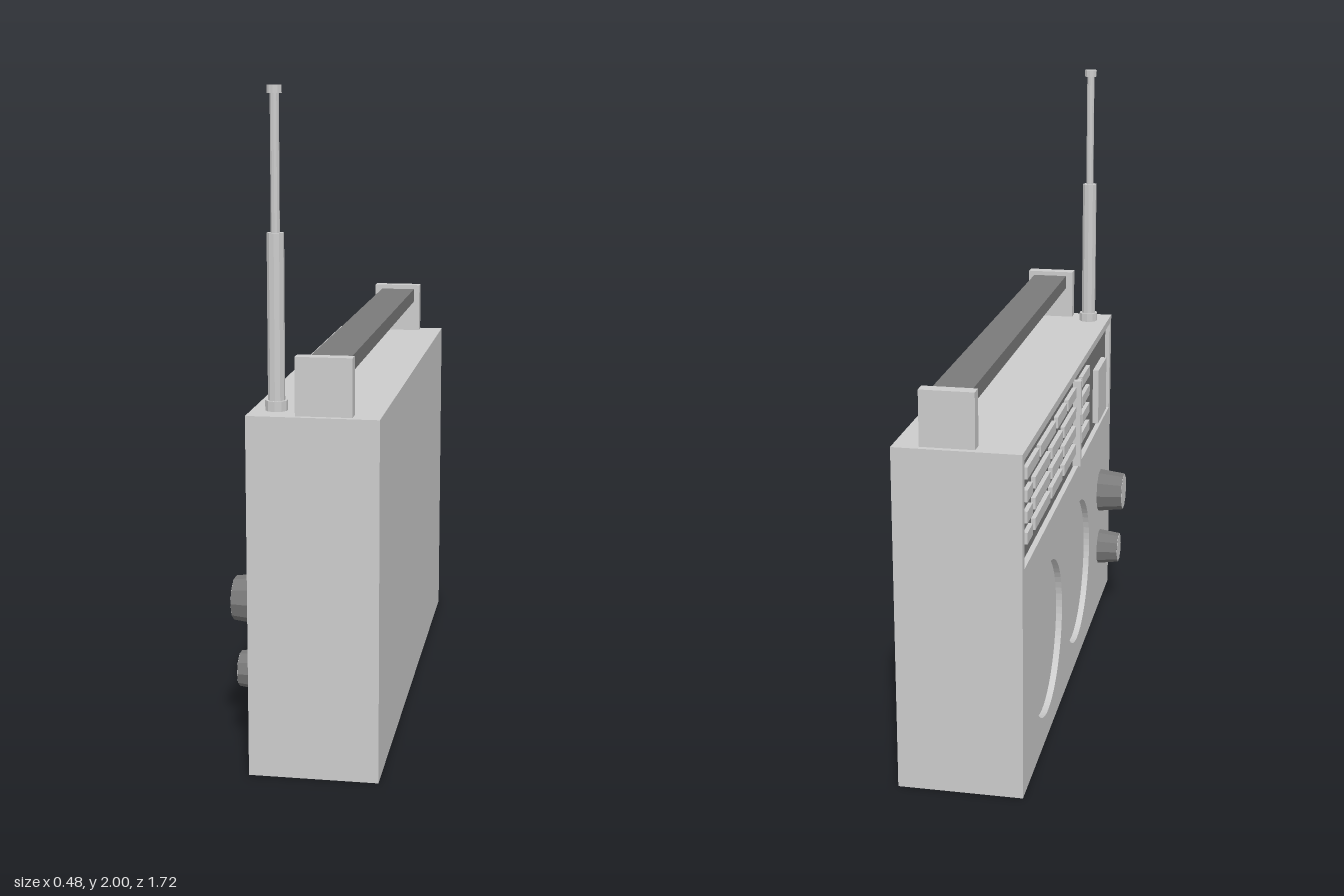
import * as THREE from 'three';

const grey = new THREE.MeshStandardMaterial({ color: 0xcccccc });
const greyFlat = new THREE.MeshStandardMaterial({ color: 0xcccccc, flatShading: true });
const dark = new THREE.MeshStandardMaterial({ color: 0x7a7a7a });
const darkFlat = new THREE.MeshStandardMaterial({ color: 0x7a7a7a, flatShading: true });

const FACE = -0.15; // outer control face, looking along -x
const FLOOR = -0.13; // bottom of the recesses

export function createModel() {
  const model = new THREE.Group();

  const add = (name, geometry, material) => {
    const mesh = new THREE.Mesh(geometry, material);
    mesh.name = name;
    model.add(mesh);
    return mesh;
  };
  // Box given by its limits on each axis
  const box = (name, [x0, x1], [y0, y1], [z0, z1], material = grey) =>
    add(name, new THREE.BoxGeometry(x1 - x0, y1 - y0, z1 - z0), material)
      .position.set((x0 + x1) / 2, (y0 + y1) / 2, (z0 + z1) / 2);

  // Case
  box('case', [FLOOR, 0.235], [0, 1.08], [-0.86, 0.86]);

  // Control face with openings for the dial and both speakers (shape x = world z)
  const rect = (target, z0, z1, y0, y1) => {
    target.moveTo(z0, y0);
    target.lineTo(z1, y0);
    target.lineTo(z1, y1);
    target.lineTo(z0, y1);
    target.closePath();
    return target;
  };
  const face = rect(new THREE.Shape(), -0.86, 0.86, 0, 1.08);
  face.holes.push(rect(new THREE.Path(), -0.83, 0.825, 0.725, 1.055));
  for (const z of [-0.445, 0.122]) {
    face.holes.push(new THREE.Path().absarc(z, 0.335, 0.25, 0, Math.PI * 2, true));
  }
  const faceGeometry = new THREE.ExtrudeGeometry(face, {
    depth: FLOOR - FACE, bevelEnabled: false, curveSegments: 32,
  });
  faceGeometry.rotateY(-Math.PI / 2);
  add('controlFace', faceGeometry, grey).position.x = FLOOR;

  // Dial: dark floor, scale marks, pointer and meter window
  box('dialPanel', [FLOOR - 0.003, FLOOR + 0.002], [0.725, 1.055], [-0.83, 0.825], dark);
  const longRow = [[-0.77, -0.585], [-0.56, -0.305], [-0.27, -0.105], [-0.08, 0.08], [0.15, 0.19], [0.21, 0.37]];
  const shortRow = [[-0.77, -0.69], [-0.65, -0.4], [-0.37, -0.18], [-0.15, 0.08], [0.13, 0.19], [0.21, 0.37]];
  [0.995, 0.925, 0.86, 0.795].forEach((y, i) => {
    for (const span of i === 0 ? longRow : shortRow) {
      box('scaleMark', [-0.147, FLOOR], [y - 0.018, y + 0.018], span);
    }
  });
  box('dialPointer', [-0.16, FLOOR], [0.73, 1.03], [0.095, 0.115]);
  box('meterWindow', [-0.154, FLOOR], [0.75, 0.95], [0.53, 0.72]);

  // Tapered ten-sided knobs with pale caps
  const knob = (y, baseRadius, tipRadius, length) => {
    const group = new THREE.Group();
    group.name = 'knob';
    const grip = new THREE.Mesh(
      new THREE.CylinderGeometry(tipRadius, baseRadius, length, 10), darkFlat);
    grip.name = 'knobGrip';
    grip.position.y = length / 2;
    const cap = new THREE.Mesh(
      new THREE.CylinderGeometry(tipRadius * 0.97, tipRadius * 0.97, 0.002, 10), greyFlat);
    cap.name = 'knobCap';
    cap.position.y = length;
    group.add(grip, cap);
    group.rotation.z = Math.PI / 2;
    group.position.set(FACE, y, 0.617);
    model.add(group);
  };
  knob(0.463, 0.078, 0.067, 0.09);
  knob(0.238, 0.064, 0.054, 0.075);

  // Handle: two end blocks and a flat dark bar
  for (const side of [-1, 1]) {
    const ends = [side * 0.8, side * 0.842].sort((a, b) => a - b);
    box('handleBracket', [-0.01, 0.155], [1.08, 1.25], ends);
  }
  box('handleBar', [0.015, 0.135], [1.188, 1.235], [-0.8, 0.8], dark);

  // Telescopic aerial
  const aerial = (name, radius, y0, y1) =>
    add(name, new THREE.CylinderGeometry(radius, radius, y1 - y0, 10), greyFlat)
      .position.set(-0.078, (y0 + y1) / 2, 0.762);
  aerial('aerialBase', 0.033, 1.08, 1.11);
  aerial('aerialLower', 0.025, 1.11, 1.59);
  aerial('aerialUpper', 0.013, 1.59, 1.98);
  aerial('aerialTip', 0.021, 1.977, 2);

  return model;
}
